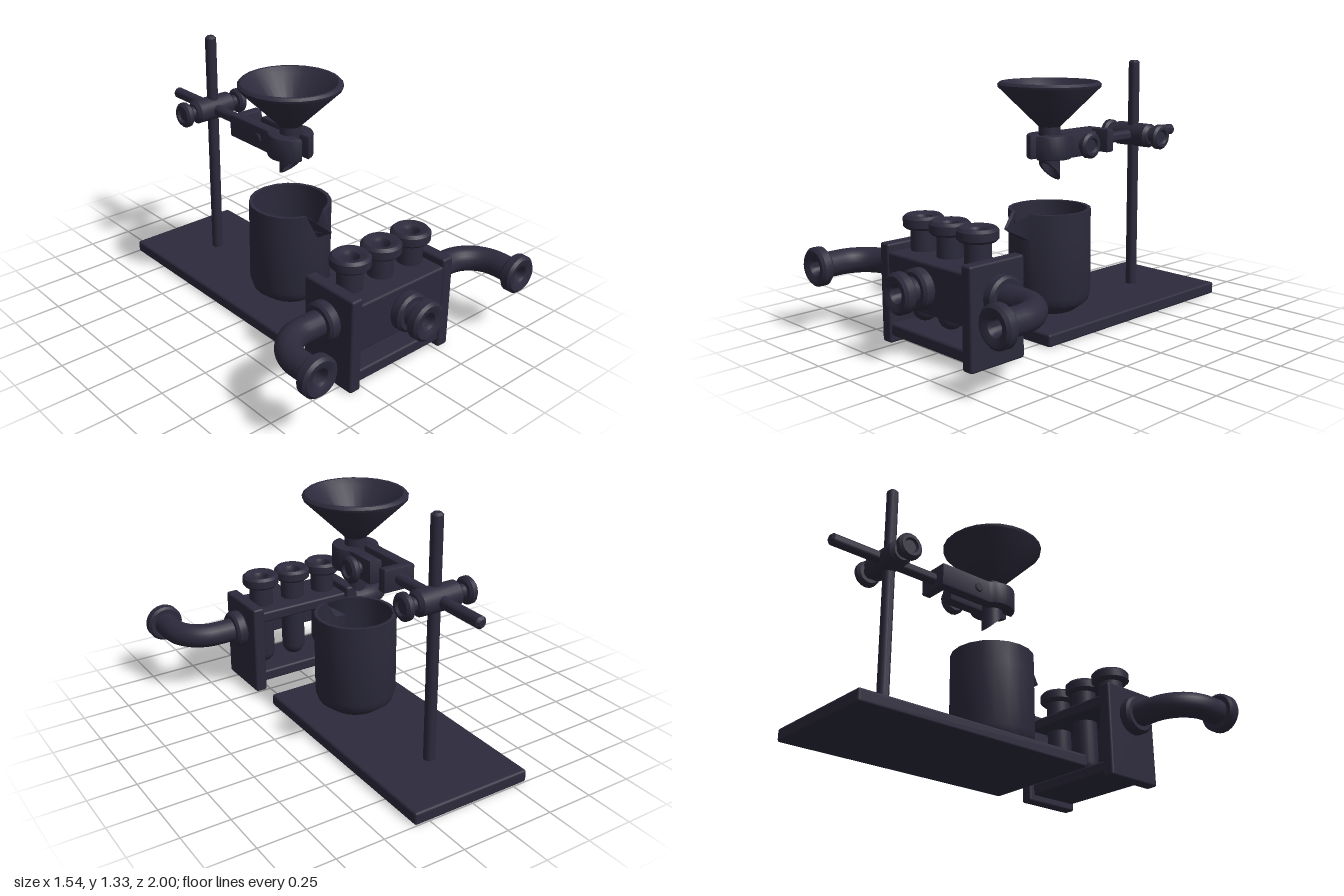
import * as THREE from 'three';
import { toCreasedNormals } from 'three/addons/utils/BufferGeometryUtils.js';
import { RoundedBoxGeometry } from 'three/addons/geometries/RoundedBoxGeometry.js';

const material = new THREE.MeshStandardMaterial({ color: 0x2c2a3c });

export function createModel() {
  const model = new THREE.Group();

  const add = (name, geometry, x = 0, y = 0, z = 0, parent = model) => {
    const mesh = new THREE.Mesh(geometry, material);
    mesh.name = name;
    mesh.position.set(x, y, z);
    parent.add(mesh);
    return mesh;
  };
  // box given by its limits on each axis
  const box = (name, x0, x1, y0, y1, z0, z1, bevel = 0.012) =>
    add(name, new RoundedBoxGeometry(x1 - x0, y1 - y0, z1 - z0, 2, bevel),
      (x0 + x1) / 2, (y0 + y1) / 2, (z0 + z1) / 2);
  // turned part; an optional rule moves its vertices
  const turned = (points, segments = 24, rule) => {
    const g = new THREE.LatheGeometry(points.map(p => new THREE.Vector2(...p)), segments);
    if (rule) {
      const p = g.attributes.position;
      const v = new THREE.Vector3();
      for (let i = 0; i < p.count; i++) {
        rule(v.fromBufferAttribute(p, i));
        p.setXYZ(i, v.x, v.y, v.z);
      }
    }
    return toCreasedNormals(g, 0.65);
  };
  // solid round bar with chamfered ends
  const bar = (r, length, c = 0.012, segments = 20) => turned([
    [0, -length / 2], [r - c, -length / 2], [r, -length / 2 + c],
    [r, length / 2 - c], [r - c, length / 2], [0, length / 2]], segments);

  // Stand
  box('standBase', -0.33, 0.33, 0, 0.065, -1, 0.33);
  add('standRod', bar(0.03, 1.28), 0, 0.69, -0.66);
  add('clampRod', bar(0.03, 0.64).rotateX(Math.PI / 2), 0, 0.92, -0.68);

  // Rod holder with a screw knob at each end
  const knob = () => turned([
    [0.035, -0.06], [0.035, 0], [0.055, 0], [0.068, 0.012], [0.068, 0.034],
    [0.055, 0.046], [0.04, 0.046], [0.032, 0.034], [0, 0.034]], 16).rotateZ(-Math.PI / 2);
  add('rodHolder', bar(0.065, 0.25, 0.018).rotateZ(Math.PI / 2), 0, 0.92, -0.67);
  add('leftHolderKnob', knob(), 0.155, 0.92, -0.67);
  add('rightHolderKnob', knob().rotateY(Math.PI), -0.155, 0.92, -0.67);

  // Clamp jaws: an arc around the funnel neck, continued by an arm to the back
  const jaw = (side, tail) => {
    const points = [];
    const arc = (r, a, b) => {
      for (let i = 0; i <= 10; i++) {
        const t = a + (b - a) * i / 10;
        points.push(new THREE.Vector2(side * r * Math.cos(t), r * Math.sin(t)));
      }
    };
    arc(0.108, -1.3, 0.8);
    tail.forEach(p => points.push(new THREE.Vector2(...p)));
    arc(0.062, 1.05, -1.1);
    const g = new THREE.ExtrudeGeometry(new THREE.Shape(points), {
      depth: 0.101, bevelThickness: 0.012, bevelSize: 0.01, bevelSegments: 2, curveSegments: 4 });
    g.rotateX(-Math.PI / 2);
    return toCreasedNormals(g, 0.7);
  };
  add('leftJaw', jaw(1, [[0.075, 0.1], [0.075, 0.25], [0.03, 0.25], [0.03, 0.075]]), 0, 0.87, 0);
  add('rightJaw', jaw(-1, [[-0.072, 0.1], [-0.072, 0.38], [0.08, 0.38], [0.08, 0.352],
    [-0.03, 0.352], [-0.03, 0.075]]), 0, 0.87, 0);
  add('jawScrew', bar(0.025, 0.2, 0.005).rotateZ(Math.PI / 2), 0.01, 0.92, -0.16);
  add('jawKnob', knob(), 0.11, 0.92, -0.16);

  // Funnel with a slanted outlet
  add('funnel', turned([
    [0.04, 0.795], [0.055, 0.795], [0.055, 1.02], [0.262, 1.222], [0.265, 1.237], [0.252, 1.25],
    [0.238, 1.25], [0.21, 1.225], [0.04, 1.03], [0.04, 0.795]], 24,
  v => { if (v.y < 0.8) v.y += v.z; }));

  // Beaker, its front rim drawn out into a pouring spout
  add('beaker', turned([
    [0, 0.066], [0.135, 0.066], [0.16, 0.085], [0.2, 0.115], [0.215, 0.16], [0.215, 0.467],
    [0.215, 0.6], [0.195, 0.6], [0.195, 0.5], [0.195, 0.16], [0.14, 0.09], [0, 0.09]], 20,
  v => {
    if (v.y > 0.59 && v.z > 0 && Math.abs(v.x) < 0.01) {
      v.z += 0.105;
      v.y -= 0.065;
    }
  }));

  // Tube rack
  for (const s of [1, -1]) {
    const side = s > 0 ? 'left' : 'right';
    box(side + 'RackEnd', s * 0.302 - 0.033, s * 0.302 + 0.033, 0, 0.5, 0.5, 0.83);
  }
  box('rackBottom', -0.28, 0.28, 0.037, 0.1, 0.53, 0.82);
  box('rackShelf', -0.28, 0.28, 0.4, 0.46, 0.527, 0.82);
  box('rackFrontPanel', -0.28, 0.28, 0.21, 0.46, 0.765, 0.825);

  // Flared mouth with its top at the origin
  const mouth = [[0.065, -0.065], [0.088, -0.065], [0.1, -0.053], [0.1, -0.014], [0.086, 0],
    [0.07, -0.001], [0.045, -0.012], [0.036, -0.03], [0.036, -0.2], [0, -0.2]];
  // Test tubes
  const round = [];
  for (let i = 0; i <= 6; i++) {
    const t = i * Math.PI / 12;
    round.push([0.065 * Math.sin(t), -0.47 - 0.065 * Math.cos(t)]);
  }
  for (const x of [-0.2, 0, 0.2]) add('testTube', turned([...round, ...mouth]), x, 0.635, 0.665);

  // Front nozzle
  add('frontNozzle', turned([[0.065, -0.2], ...mouth]).rotateX(Math.PI / 2), 0, 0.34, 1);
  const collar = () => bar(0.1, 0.067, 0.013, 24);
  add('frontCollar', collar().rotateX(Math.PI / 2), 0, 0.34, 0.862);

  // Bent side pipes
  for (const s of [1, -1]) {
    const pipe = new THREE.Group();
    pipe.name = s > 0 ? 'leftPipe' : 'rightPipe';
    pipe.position.y = 0.34;
    model.add(pipe);
    const path = new THREE.CurvePath();
    const V = (x, z) => new THREE.Vector3(s * x, 0, z);
    const k = 0.18 * 0.552;
    path.add(new THREE.LineCurve3(V(0.32, 0.665), V(0.49, 0.665)));
    path.add(new THREE.CubicBezierCurve3(V(0.49, 0.665), V(0.49 + k, 0.665),
      V(0.67, 0.845 - k), V(0.67, 0.845)));
    path.add(new THREE.LineCurve3(V(0.67, 0.845), V(0.67, 0.95)));
    add('elbow', new THREE.TubeGeometry(path, 24, 0.065, 20), 0, 0, 0, pipe);
    add('collar', collar().rotateZ(Math.PI / 2), s * 0.366, 0, 0.665, pipe);
    // the bore stops inside the straight end
    const end = mouth.map(([r, y]) => [r, Math.max(y, -0.1)]);
    add('mouth', turned(end).rotateX(Math.PI / 2), s * 0.67, 0, 1, pipe);
  }

  return model;
}
